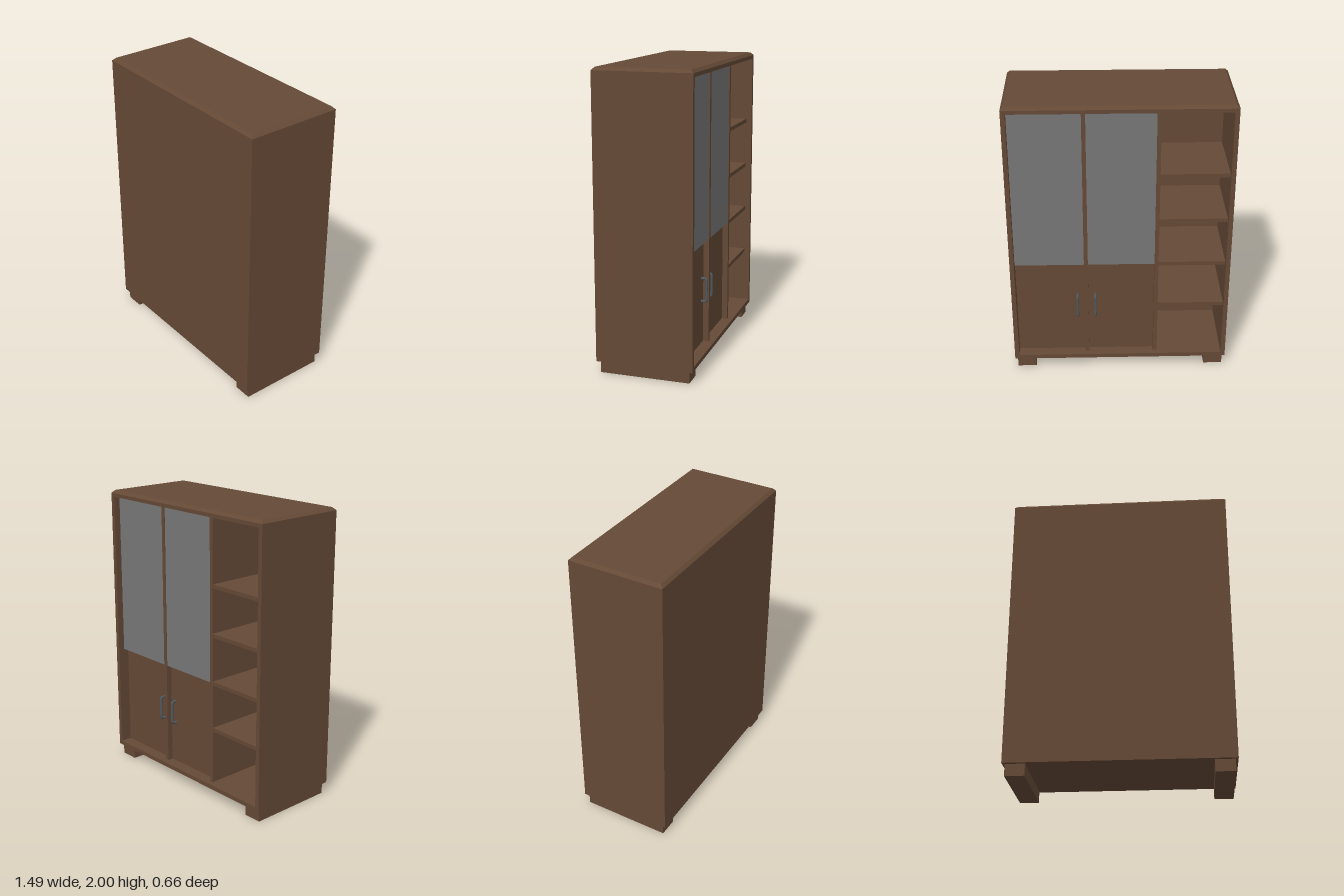
import * as THREE from 'three';

export function createModel() {
  const group = new THREE.Group();
  const material = (name, color) => {
    const m = new THREE.MeshStandardMaterial({ color });
    m.name = name;
    return m;
  };
  const wood = material('dark wood', 0x654936);
  const glass = material('grey glass', 0x777777);
  const metal = material('dark metal', 0x50585e);

  const add = (name, geometry, mat) => {
    const mesh = new THREE.Mesh(geometry, mat);
    mesh.name = name;
    group.add(mesh);
    return mesh;
  };
  // box given by its limits on each axis
  const box = (name, mat, x0, x1, y0, y1, z0, z1) => {
    const g = new THREE.BoxGeometry(x1 - x0, y1 - y0, z1 - z0);
    g.translate((x0 + x1) / 2, (y0 + y1) / 2, (z0 + z1) / 2);
    return add(name, g, mat);
  };

  const W = 0.745, D = 0.33, T = 0.03;          // half width, half depth, board
  const floorY = 0.11, ceilY = 1.955, eaveY = 1.98;
  const wallZ = 0.195;                          // inner face of the closed side
  const innerX = W - T;
  const recessZ = -D + 0.04;                    // shelf and divider edges

  // carcass, open towards -z
  box('closedPanel', wood, -W, W, 0.08, eaveY, wallZ, D);
  box('leftSide', wood, innerX, W, 0.08, eaveY, -D, wallZ);
  box('rightSide', wood, -W, -innerX, 0.08, eaveY, -D, wallZ);
  box('bottomBoard', wood, -innerX, innerX, 0.08, floorY, -D, wallZ);
  box('topBoard', wood, -innerX, innerX, ceilY, eaveY, -D, wallZ);

  // top cap with chamfered edges
  const cap = new THREE.BoxGeometry(2 * W, 0.02, 2 * D);
  const p = cap.attributes.position;
  for (let i = 0; i < p.count; i++) {
    if (p.getY(i) > 0) {
      p.setX(i, p.getX(i) - Math.sign(p.getX(i)) * 0.02);
      p.setZ(i, p.getZ(i) - Math.sign(p.getZ(i)) * 0.02);
    }
  }
  cap.computeVertexNormals();
  add('topCap', cap, wood).position.y = 1.99;

  // runner feet
  box('leftFoot', wood, 0.598, 0.728, 0, 0.08, -0.305, 0.305);
  box('rightFoot', wood, -0.728, -0.598, 0, 0.08, -0.305, 0.305);

  // upright dividers
  const midX = 0.232, divX = -0.248, half = 0.0135;
  for (const [name, x] of [['doorDivider', midX], ['shelfDivider', divX]]) {
    box(name, wood, x - half, x + half, floorY, ceilY, recessZ, wallZ);
  }

  // open shelves
  for (const y of [0.5, 0.832, 1.165, 1.497]) {
    box('shelf', wood, -innerX, divX - half, y - half, y + half, recessZ, wallZ);
  }

  // glass upper doors and wooden lower doors
  const bays = [[midX + half, innerX], [divX + half, midX - half]];
  for (const [x0, x1] of bays) {
    box('glassDoor', glass, x0, x1, 0.83, ceilY, -D + 0.045, -D + 0.08);
    box('lowerDoor', wood, x0, x1, floorY, 0.83, -D + 0.08, -D + 0.11);
  }

  // bow handles on both sides of the door divider
  const doorZ = -D + 0.08, gripZ = -D + 0.043;
  for (const side of [1, -1]) {
    const path = new THREE.CurvePath();
    const v = (y, z) => new THREE.Vector3(0, y, z);
    path.add(new THREE.LineCurve3(v(-0.08, doorZ), v(-0.08, gripZ + 0.015)));
    path.add(new THREE.QuadraticBezierCurve3(v(-0.08, gripZ + 0.015), v(-0.08, gripZ), v(-0.065, gripZ)));
    path.add(new THREE.LineCurve3(v(-0.065, gripZ), v(0.065, gripZ)));
    path.add(new THREE.QuadraticBezierCurve3(v(0.065, gripZ), v(0.08, gripZ), v(0.08, gripZ + 0.015)));
    path.add(new THREE.LineCurve3(v(0.08, gripZ + 0.015), v(0.08, doorZ)));
    const handle = add('handle', new THREE.TubeGeometry(path, 60, 0.009, 10), metal);
    handle.position.set(midX + side * 0.061, 0.49, 0);
  }
  return group;
}
